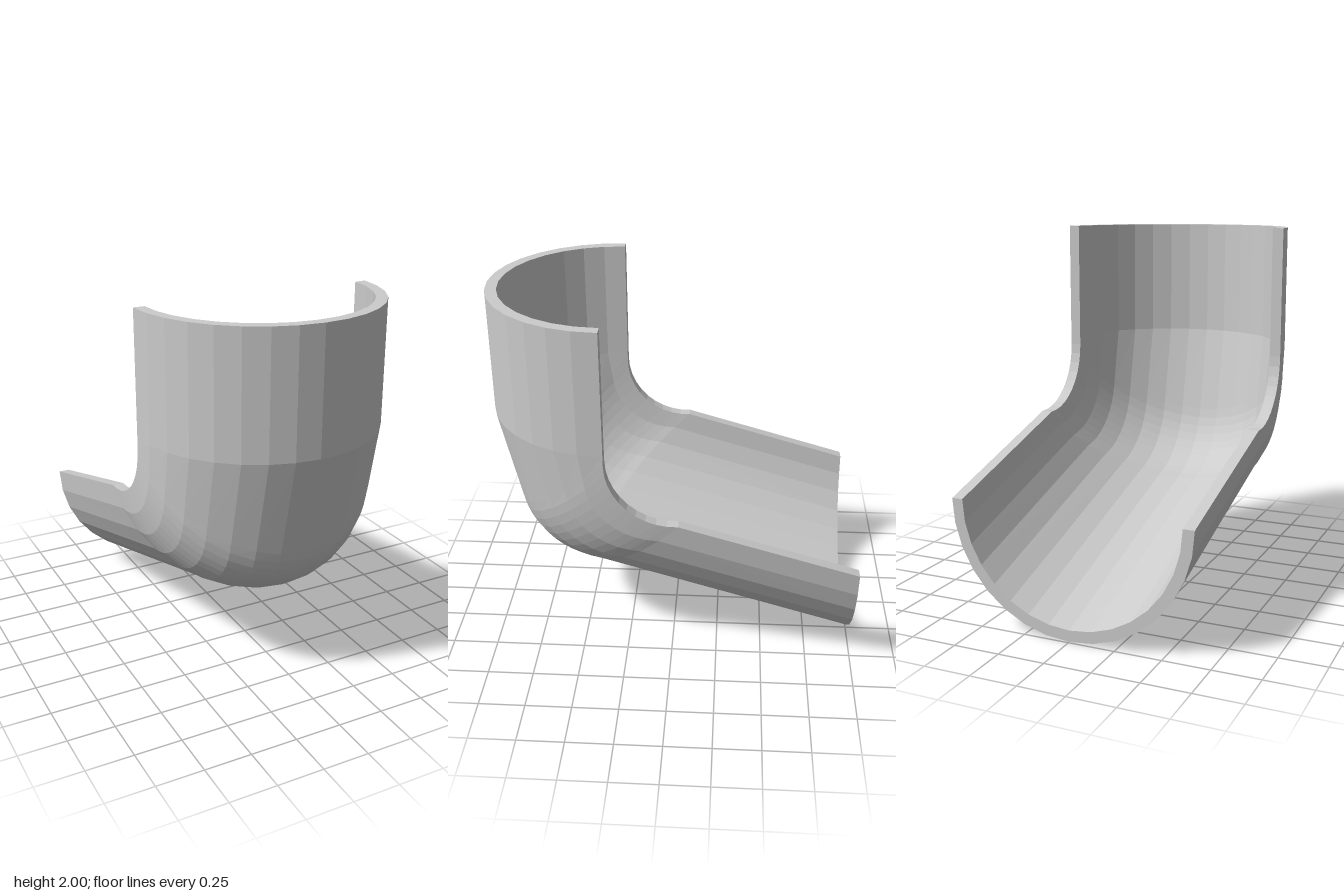
import * as THREE from 'three';

const SEGMENTS = 16;      // sides of the half round
const BEND_STEPS = 10;    // rings through the elbow
const OUTER = 0.66, INNER = 0.6;

// Each station pairs a rim point with a keel point, both as (z, y).
function makeStations() {
  const stations = [
    { rim: [0.33, 2], keel: [0.99, 2] },
    { rim: [0.33, 1.34], keel: [0.99, 1.34] },
  ];
  const keelBend = new THREE.QuadraticBezierCurve(
    new THREE.Vector2(0.87, 0.8), new THREE.Vector2(0.805, 0.52), new THREE.Vector2(0.48, 0.44));
  for (let i = 0; i <= BEND_STEPS; i++) {
    const t = i / BEND_STEPS;
    const a = t * THREE.MathUtils.degToRad(94);
    const k = keelBend.getPoint(t);
    stations.push({
      rim: [-0.02 + 0.35 * Math.cos(a), 1.29 - 0.35 * Math.sin(a)],
      keel: [k.x, k.y],
    });
  }
  stations.push({ rim: [-0.99, 0.67], keel: [-0.99, 0.005] });
  return stations;
}

// Half-round ring of points across one station.
function halfRing({ rim, keel }, radius) {
  const points = [];
  for (let j = 0; j <= SEGMENTS; j++) {
    const a = (j / SEGMENTS) * Math.PI;
    const depth = Math.sin(a) * radius / OUTER;
    points.push([
      radius * Math.cos(a),
      THREE.MathUtils.lerp(rim[1], keel[1], depth),
      THREE.MathUtils.lerp(rim[0], keel[0], depth),
    ]);
  }
  return points;
}

function channelGeometry() {
  const positions = [];
  const quad = (a, b, c, d) => positions.push(...a, ...b, ...c, ...a, ...c, ...d);

  // Closed section: outer skin one way, inner skin back
  const loops = makeStations().map(
    (s) => [...halfRing(s, OUTER), ...halfRing(s, INNER).reverse()]);
  const n = loops[0].length;

  // Walls and the two flat rims
  for (let s = 0; s < loops.length - 1; s++) {
    const p = loops[s], q = loops[s + 1];
    for (let j = 0; j < n; j++) {
      const k = (j + 1) % n;
      quad(p[j], p[k], q[k], q[j]);
    }
  }

  // End faces of the wall
  const first = loops[0], last = loops[loops.length - 1];
  for (let j = 0; j < SEGMENTS; j++) {
    const i = n - 1 - j;
    quad(first[j], first[i], first[i - 1], first[j + 1]);
    quad(last[j], last[j + 1], last[i - 1], last[i]);
  }

  const geometry = new THREE.BufferGeometry();
  geometry.setAttribute('position', new THREE.Float32BufferAttribute(positions, 3));
  geometry.computeVertexNormals();
  return geometry;
}

export function createModel() {
  const group = new THREE.Group();
  group.name = 'halfPipeElbow';
  const channel = new THREE.Mesh(
    channelGeometry(),
    new THREE.MeshStandardMaterial({ color: 0xcccccc, flatShading: true }));
  channel.name = 'bentChannel';
  group.add(channel);
  return group;
}
